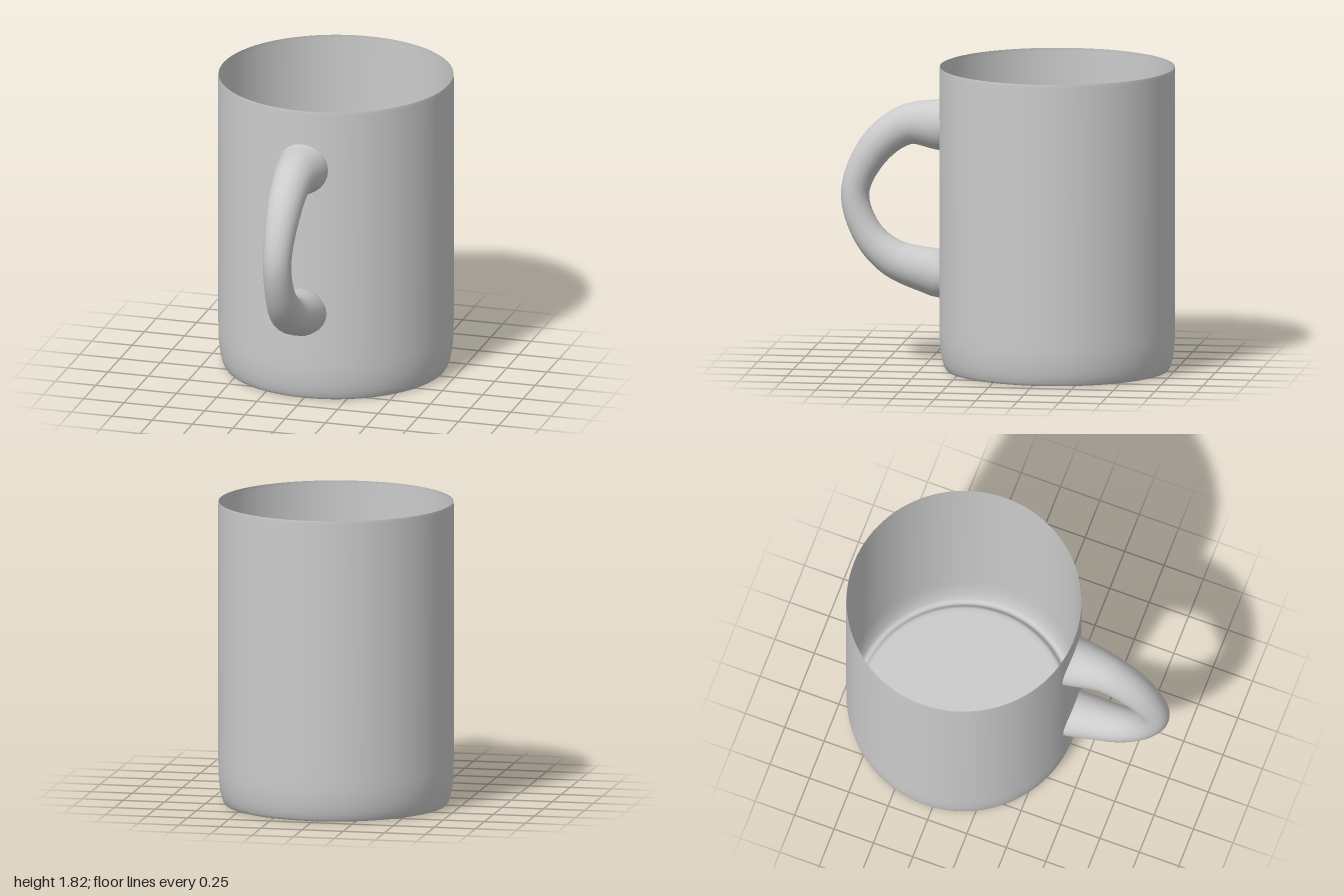
import * as THREE from 'three';

const AXIS_Z = -0.3; // the cup sits behind the origin, the handle in front
const RADIUS = 0.7;

// Thin cup shell: recessed base, foot ring, rounded lower edge, straight wall
function createCup(material) {
  const profile = [
    [0, 0.035], [0.58, 0.035], [0.605, 0.034], [0.62, 0.028], [0.63, 0.012],
    [0.64, 0.003], [0.65, 0], [0.662, 0.002], [0.672, 0.018], [0.682, 0.05],
    [0.69, 0.09], [0.696, 0.14], [0.699, 0.19], [RADIUS, 0.25],
    [RADIUS, 1.0], [RADIUS, 1.8], [0.698, 1.82],
  ].map(([r, y]) => new THREE.Vector2(r, y));
  const cup = new THREE.Mesh(new THREE.LatheGeometry(profile, 96), material);
  cup.name = 'cup';
  cup.position.z = AXIS_Z;
  return cup;
}

// Tapered handle: each curve point holds (tube radius, y, z)
function createHandle(material) {
  const path = new THREE.CatmullRomCurve3([
    [0.156, 1.455, 0.39], [0.121, 1.45, 0.6], [0.104, 1.31, 0.79],
    [0.085, 1.04, 0.915], [0.091, 0.8, 0.845], [0.113, 0.645, 0.685],
    [0.147, 0.553, 0.39],
  ].map((p) => new THREE.Vector3(...p)));
  const rings = 56, sides = 24;
  const positions = [], indices = [];

  for (let i = 0; i <= rings; i++) {
    const p = path.getPointAt(i / rings);
    const t = path.getTangentAt(i / rings).setX(0).normalize();
    for (let j = 0; j < sides; j++) {
      const a = (j / sides) * Math.PI * 2;
      const x = p.x * Math.cos(a), n = p.x * Math.sin(a);
      const y = p.y + n * t.z;
      let z = p.z - n * t.y;
      // the end rings lie on the cup wall
      const wall = AXIS_Z + Math.sqrt(RADIUS * RADIUS - x * x);
      if (i === 0 || i === rings) z = wall;
      positions.push(x, y, Math.max(z, wall));
      if (i < rings) {
        const k = i * sides, next = (j + 1) % sides;
        indices.push(k + j, k + next, k + sides + j);
        indices.push(k + next, k + sides + next, k + sides + j);
      }
    }
  }
  const geometry = new THREE.BufferGeometry();
  geometry.setAttribute('position', new THREE.Float32BufferAttribute(positions, 3));
  geometry.setIndex(indices);
  geometry.computeVertexNormals();
  const handle = new THREE.Mesh(geometry, material);
  handle.name = 'handle';
  return handle;
}

export function createModel() {
  const group = new THREE.Group();
  group.name = 'mug';
  const material = new THREE.MeshStandardMaterial({ color: 0xcccccc, side: THREE.DoubleSide });
  group.add(createCup(material), createHandle(material));
  return group;
}
